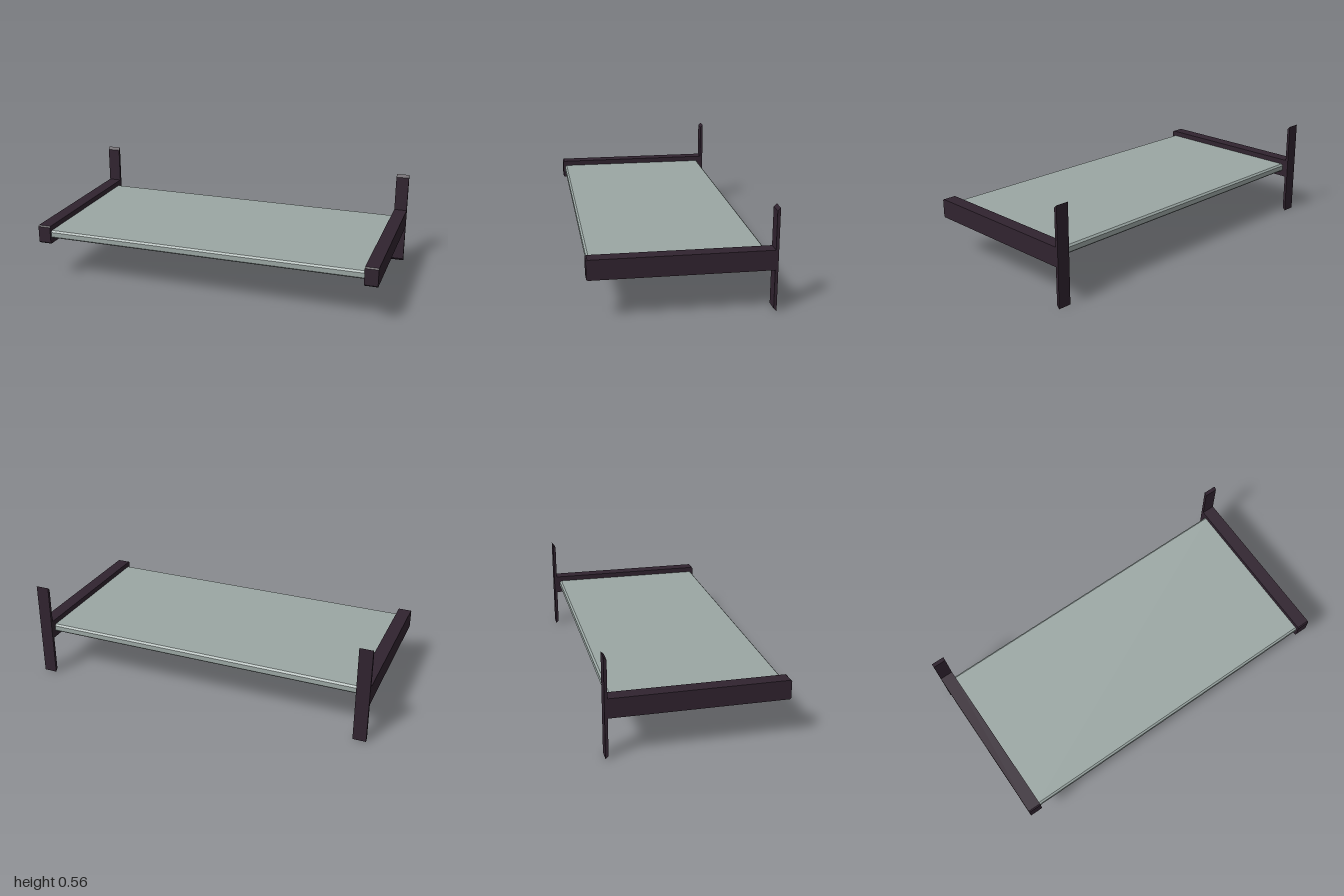
import * as THREE from 'three';

// Extrude a side profile of [z, y] points along x, centred on x = 0.
function sideProfile(points, width) {
  const shape = new THREE.Shape(points.map(([z, y]) => new THREE.Vector2(z, y)));
  const geometry = new THREE.ExtrudeGeometry(shape, { depth: width, bevelEnabled: false });
  geometry.translate(0, 0, -width / 2);
  geometry.rotateY(-Math.PI / 2);
  return geometry;
}

export function createModel() {
  const group = new THREE.Group();
  group.name = 'wallShelf';

  const darkWood = new THREE.MeshStandardMaterial({ color: 0x30232f });
  darkWood.name = 'dark wood';
  const greyGlass = new THREE.MeshStandardMaterial({ color: 0x9ba7a4 });
  greyGlass.name = 'grey glass';

  const add = (name, geometry, material, x = 0) => {
    const mesh = new THREE.Mesh(geometry, material);
    mesh.name = name;
    mesh.position.x = x;
    group.add(mesh);
  };

  // Shelf panel with chamfered front and back edges
  add('shelfPanel', sideProfile([
    [-0.45, 0.268], [-0.442, 0.26], [0.467, 0.26], [0.475, 0.268],
    [0.475, 0.295], [0.465, 0.305], [-0.44, 0.305], [-0.45, 0.295],
  ], 1.87), greyGlass);

  // Side rail with a chamfered front end
  const rail = sideProfile([
    [-0.472, 0.227], [0.48, 0.227], [0.487, 0.234],
    [0.487, 0.328], [0.48, 0.335], [-0.472, 0.335],
  ], 0.075);

  // Flat wall post with both ends cut at a slant
  const post = sideProfile([
    [-0.487, 0], [-0.471, 0.016], [-0.471, 0.542], [-0.487, 0.558],
  ].reverse(), 0.075);

  for (const [side, sign] of [['left', 1], ['right', -1]]) {
    add(side + 'Rail', rail, darkWood, sign * 0.9625);
    add(side + 'WallPost', post, darkWood, sign * 0.9625);
  }
  return group;
}
